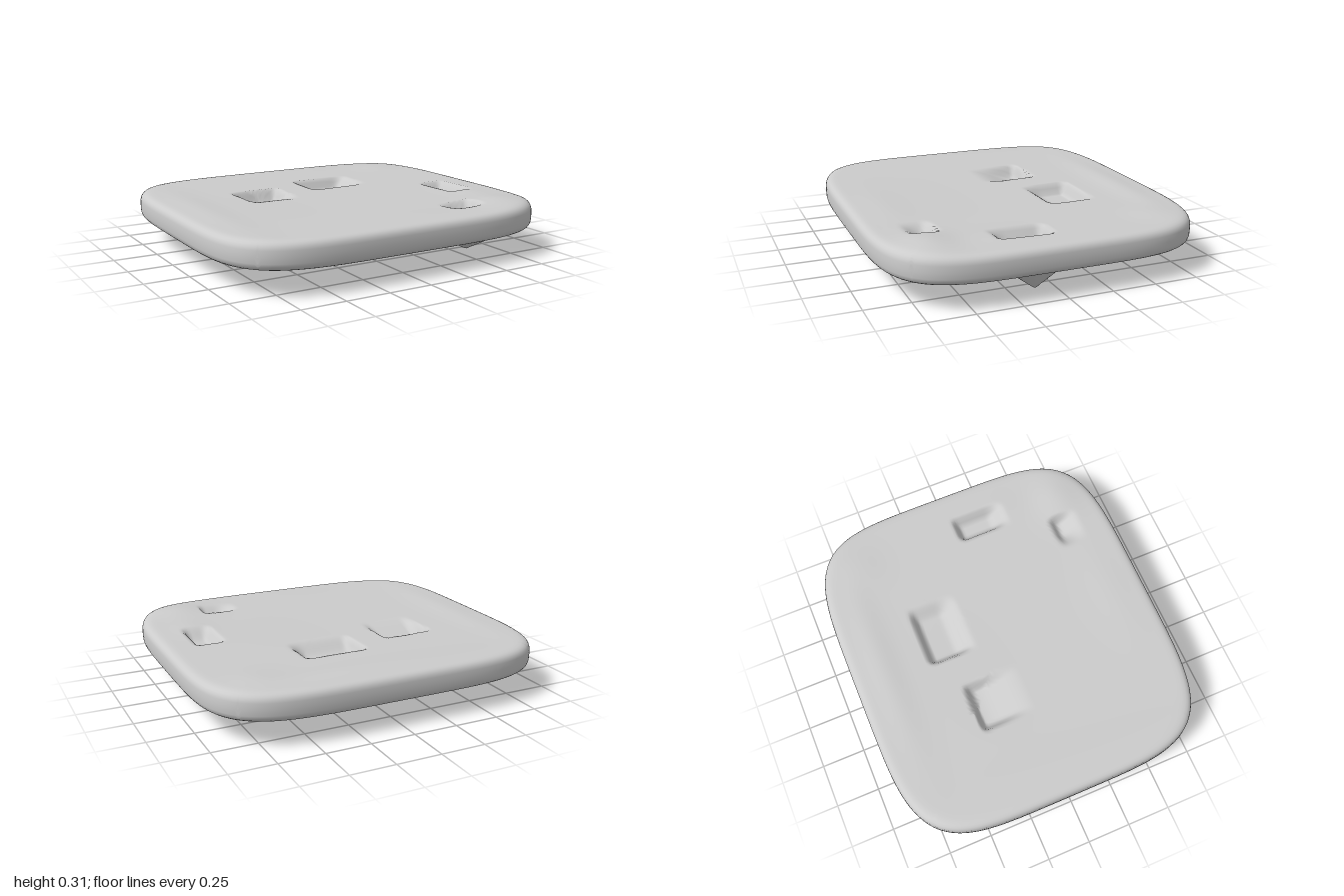
import * as THREE from 'three';
import { mergeVertices, mergeGeometries } from 'three/addons/utils/BufferGeometryUtils.js';

const CELLS = 128;          // grid cells across each face
const RIM_START = 0.9;      // outer share of the grid folds round the edge
const HALF_X = 1, HALF_Z = 0.905, MID_Y = 0.217, HALF_H = 0.077;

// Soft swells of the top: [x, z, radiusX, radiusZ, height]
const SWELLS = [
  [0.72, 0.66, 0.18, 0.14, 0.022],
  [0.75, 0.3, 0.12, 0.2, 0.008],
  [0.1, -0.72, 0.55, 0.09, 0.012],
  [-0.82, 0.0, 0.1, 0.6, 0.008],
  [0.72, -0.62, 0.14, 0.12, 0.008],
  [-0.1, 0.1, 0.55, 0.45, -0.008],
  [0.05, 0.7, 0.35, 0.12, 0.006],
];

// Dents in the top: [x0, x1, z0, z1, left, right, back, front wall width, depth]
const DENTS = [
  [-0.5, -0.19, -0.34, 0.0, 0.05, 0.05, 0.045, 0.3, 0.075],
  [-0.02, 0.37, -0.47, -0.17, 0.045, 0.1, 0.05, 0.13, 0.07],
  [0.64, 0.82, -0.01, 0.33, 0.06, 0.05, 0.05, 0.12, 0.07],
  [0.36, 0.6, 0.54, 0.72, 0.13, 0.05, 0.05, 0.13, 0.065],
];

// Pointed feet below: [tip x, tip z, reach -x, +x, -z, +z, depth]
const FEET = [
  [-0.37, -0.19, 0.18, 0.18, 0.18, 0.19, 0.14],
  [0.18, -0.33, 0.18, 0.17, 0.19, 0.17, 0.12],
  [0.82, 0.11, 0.22, 0.1, 0.18, 0.18, 0.135],
  [0.55, 0.59, 0.22, 0.14, 0.13, 0.23, 0.12],
  [-0.59, 0.43, 0.19, 0.19, 0.17, 0.17, 0.12],
];

const ramp = (d, width) => THREE.MathUtils.smoothstep(d, 0, width);

function topRelief(x, z) {
  let y = 0;
  for (const [cx, cz, rx, rz, h] of SWELLS)
    y += h * Math.exp(-(((x - cx) / rx) ** 2) - ((z - cz) / rz) ** 2);
  for (const [x0, x1, z0, z1, l, r, b, f, depth] of DENTS)
    y -= depth * ramp(x - x0, l) * ramp(x1 - x, r) * ramp(z - z0, b) * ramp(z1 - z, f);
  return y;
}

function footRelief(x, z) {
  let drop = 0;
  for (const [cx, cz, l, r, b, f, depth] of FEET) {
    const dx = Math.abs(x - cx) / (x < cx ? l : r);
    const dz = Math.abs(z - cz) / (z < cz ? b : f);
    const d = Math.hypot(dx, dz);
    drop = Math.max(drop, depth * Math.max(0, 1 - d));
  }
  return -drop;
}

// One half of the slab: a square grid pulled to a rounded outline,
// with its outer cells folded down to the middle of the edge
function slabHalf(sign, relief) {
  const geo = new THREE.PlaneGeometry(2, 2, CELLS, CELLS);
  geo.rotateX(-sign * Math.PI / 2);
  geo.deleteAttribute('uv');
  geo.deleteAttribute('normal');
  const p = geo.attributes.position;
  for (let i = 0; i < p.count; i++) {
    const u = p.getX(i), v = p.getZ(i);
    const m = Math.max(Math.abs(u), Math.abs(v));
    const norm = (Math.abs(u) ** 4.7 + Math.abs(v) ** 4.7) ** (1 / 4.7) || 1;
    const t = Math.min(1, Math.max(0, (m - RIM_START) / (1 - RIM_START))) * Math.PI / 2;
    const radius = m < RIM_START ? m * 0.93 / RIM_START : 0.93 + 0.07 * Math.sin(t) ** 0.7;
    const rise = Math.max(0, Math.cos(t)) ** 0.6;
    const fade = m > 0.9999 ? 0 : rise;
    const x = HALF_X * u * radius / norm, z = HALF_Z * v * radius / norm;
    p.setXYZ(i, x, MID_Y + fade * (sign * HALF_H + relief(x, z)), z);
  }
  return geo;
}

export function createModel() {
  const group = new THREE.Group();
  group.name = 'dentedSlab';

  // Top and underside welded into one smooth closed slab
  const geo = mergeVertices(mergeGeometries([slabHalf(1, topRelief), slabHalf(-1, footRelief)]), 1e-4);
  geo.computeVertexNormals();
  const slab = new THREE.Mesh(geo, new THREE.MeshStandardMaterial({ color: 0xcccccc }));
  slab.name = 'slab';
  group.add(slab);
  return group;
}
